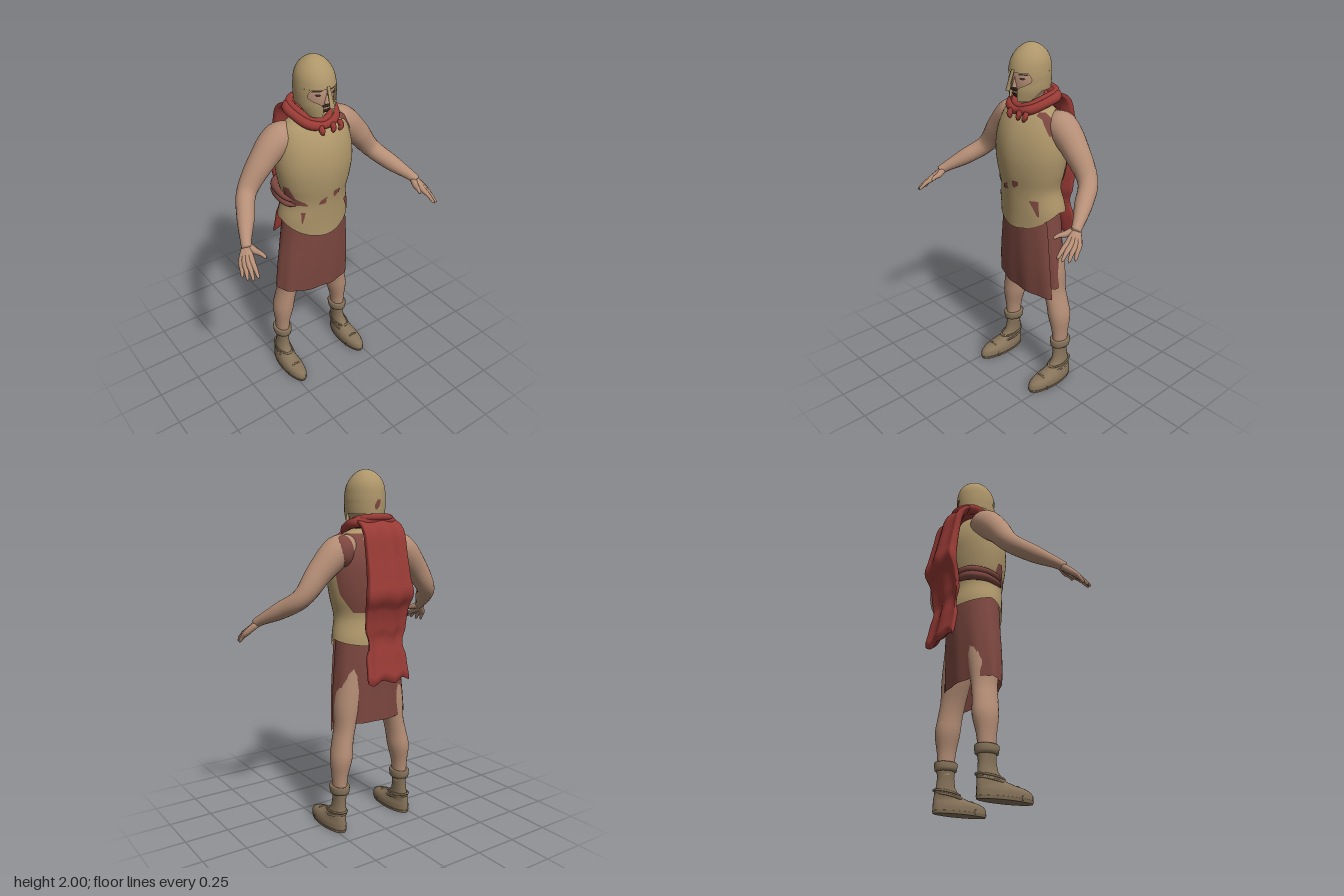
import * as THREE from 'three';

const V = (x, y, z) => new THREE.Vector3(x, y, z);
const mat = (name, color) => Object.assign(new THREE.MeshStandardMaterial({ color, side: THREE.DoubleSide }), { name });
const lerp = THREE.MathUtils.lerp;
const TAU = Math.PI * 2;

// Smooth surface from fn(u, v), u around and v along, both 0..1
function grid(fn, nu, nv, closed = false) {
  const pos = [], idx = [], w = closed ? nu : nu + 1;
  for (let j = 0; j <= nv; j++)
    for (let i = 0; i < w; i++) pos.push(...fn(i / nu, j / nv).toArray());
  for (let j = 0; j < nv; j++)
    for (let i = 0; i < nu; i++) {
      const a = j * w + i, b = j * w + (i + 1) % w;
      idx.push(a, b, b + w, a, b + w, a + w);
    }
  const g = new THREE.BufferGeometry();
  g.setAttribute('position', new THREE.Float32BufferAttribute(pos, 3));
  g.setIndex(idx);
  g.computeVertexNormals();
  return g;
}

// Body surface from rows [y, half width, front z, back z, centre x]; angle 0 faces +z, then turns to +x
function profile(rows) {
  const interp = new THREE.CubicInterpolant(rows.map(r => r[0]), rows.flatMap(r => [r[1], r[2], r[3], r[4] || 0]), 4, new Float32Array(4));
  return (a, y, off = 0) => {
    const [rx, zf, zb, cx] = interp.evaluate(y);
    return V(cx + (Math.max(rx, 0) + off) * Math.sin(a), y, (zf + zb) / 2 + (Math.max((zf - zb) / 2, 0) + off) * Math.cos(a));
  };
}
const column = (p, y0, y1, nv = 20, nu = 32) => grid((u, v) => p(u * TAU, lerp(y0, y1, v)), nu, nv, true);

// Stack of ellipses, used row by row
const stack = (rows, n = 28) => grid((u, v) => {
  const [y, rx, zf, zb, cx = 0] = rows[Math.round(v * (rows.length - 1))];
  return V(cx + rx * Math.sin(u * TAU), y, (zf + zb) / 2 + (zf - zb) / 2 * Math.cos(u * TAU));
}, n, rows.length - 1, true);

// Thin patch lying on a body surface, rows [y, first angle, last angle]
const patch = (p, rows, off = 0.005) => grid((u, v) => {
  const f = v * (rows.length - 1), i = Math.min(Math.floor(f), rows.length - 2), t = f - i;
  const [y, a, b] = rows[i].map((q, k) => lerp(q, rows[i + 1][k], t));
  return p(lerp(a, b, u), y, off);
}, 10, (rows.length - 1) * 4);

// Round limb through points with a radius at each
function limb(pts, radii, { nu = 16, nv = 24, closed = false } = {}) {
  const curve = new THREE.CatmullRomCurve3(pts.map(p => V(...p)), closed);
  const rad = new THREE.CatmullRomCurve3(radii.map(r => V(r, 0, 0)), closed);
  return grid((u, v) => {
    const T = curve.getTangent(v), N = V(0, 1, 0).cross(T).normalize(), B = T.clone().cross(N);
    const r = !closed && (v === 0 || v === 1) ? 0 : rad.getPoint(v).x;
    return curve.getPoint(v).addScaledVector(N, r * Math.cos(u * TAU)).addScaledVector(B, r * Math.sin(u * TAU));
  }, nu, nv, true);
}

export function createModel() {
  const root = new THREE.Group();
  root.name = 'armouredWarrior';
  const skin = mat('skin', 0xb58e76), bronze = mat('bronze', 0xae966a), cloth = mat('tunicRed', 0x7d4840);
  const red = mat('capeRed', 0x983a35), leather = mat('leather', 0x86735a), dark = mat('beardBrown', 0x3b2d25);
  const add = (name, geo, m, parent = root) => {
    const mesh = new THREE.Mesh(geo, m);
    mesh.name = name;
    parent.add(mesh);
    return mesh;
  };

  // Cuirass with a pointed lower edge
  const torso = profile([[0.98, 0.215, 0.085, -0.215], [1.1, 0.215, 0.09, -0.212], [1.22, 0.192, 0.1, -0.19], [1.32, 0.214, 0.116, -0.205],
    [1.42, 0.228, 0.122, -0.212], [1.52, 0.222, 0.108, -0.21], [1.6, 0.2, 0.075, -0.185], [1.655, 0.165, 0.035, -0.15], [1.69, 0.085, 0, -0.13]]);
  const hem = a => 1.1 - 0.105 * Math.pow(Math.max(0, Math.cos(a)), 1.3) - 0.03 * Math.max(0, -Math.cos(a));
  add('cuirass', grid((u, v) => {
    const a = u * TAU;
    return torso(a, lerp(hem(a), 1.69, v), 0.006 * Math.pow(Math.max(0, Math.cos(a)), 24));
  }, 48, 30, true), bronze);

  // Cloth showing on the cuirass
  const patches = {
    backPatch: [[1.25, 2.3, 2.75], [1.35, 1.95, 2.75], [1.5, 1.8, 2.7], [1.6, 1.75, 2.7], [1.665, 1.7, 2.6]],
    lowerBackPatch: [[1.23, -2.8, -2], [1.27, -2.8, -1.9], [1.31, -2.7, -2.3]],
    shoulderPatch: [[1.55, 1.15, 1.25], [1.63, 0.9, 1.3], [1.645, 0.7, 1.2], [1.66, 0.8, 1.1]],
    waistPatch: [[1.215, -1.5, -0.65], [1.235, -1.5, -0.75], [1.26, -1.5, -1.05], [1.33, -1.4, -1.2]],
    bellyPatch: [[1.215, -0.35, -0.15], [1.24, -0.3, 0.15], [1.26, -0.1, 0.3], [1.285, 0.15, 0.32]],
    rightHipPatch: [[1.1, -0.75, -0.72], [1.15, -0.8, -0.7], [1.17, -0.85, -0.7]],
    leftHipPatch: [[1.09, 0.78, 0.84], [1.13, 0.7, 0.85], [1.18, 0.6, 0.9]]
  };
  for (const [name, rows] of Object.entries(patches)) add(name, patch(torso, rows), cloth);
  add('sleevePatch', new THREE.SphereGeometry(1, 20, 14).scale(0.06, 0.085, 0.068), cloth).position.set(0.195, 1.575, -0.112);

  // Twisted sash around the waist
  for (const d of [0, 0.035])
    add('sash', limb([[-0.1, 1.27 - d, -0.215], [-0.175, 1.265 - d, -0.17], [-0.203, 1.262 - d, -0.09], [-0.195, 1.25 - d, -0.01], [-0.15, 1.235 - d / 2, 0.04]],
      [0.02, 0.026, 0.022, 0.016, 0.004], { nu: 10 }), cloth);

  // Wrapped skirt with a stepped overlap
  const skirt = profile([[0.54, 0.243, 0.04, -0.175, -0.014], [0.75, 0.23, 0.062, -0.182, -0.01], [0.95, 0.207, 0.073, -0.19, -0.004], [1.16, 0.18, 0.08, -0.185]]);
  add('skirt', grid((u, v) => {
    const a = 1.15 - u * TAU;
    const low = u < 0.45 ? lerp(0.563, 0.625, u / 0.45) : 0.63;
    const fold = 0.004 * (1 - v) * Math.sin(u * 60) + 0.01 * Math.max(0, 1 - u * 4);
    return skirt(a, lerp(low, 1.15, v), fold);
  }, 72, 16), cloth);

  // Neck and head
  const head = profile([[1.6, 0.08, 0.01, -0.14], [1.69, 0.062, 0, -0.115], [1.715, 0.06, 0.03, -0.115], [1.73, 0.066, 0.055, -0.12],
    [1.77, 0.088, 0.068, -0.135], [1.83, 0.097, 0.07, -0.142], [1.9, 0.088, 0.055, -0.135]]);
  add('head', column(head, 1.6, 1.9, 30), skin);
  add('beard', patch(head, [[1.718, -0.4, 0.4], [1.735, -0.6, 0.6], [1.752, -0.6, 0.6]], 0.006), dark);
  add('moustache', patch(head, [[1.762, -0.6, 0.6], [1.774, -0.35, 0.35], [1.782, -0.15, 0.15]], 0.007), dark);
  add('nose', new THREE.ConeGeometry(0.016, 0.055, 10), skin).position.set(0, 1.81, 0.07);
  for (const s of [-1, 1]) {
    add('eye', patch(head, [[1.824, s * 0.4, s * 0.55], [1.83, s * 0.33, s * 0.65], [1.836, s * 0.4, s * 0.6]]), dark);
    add('eyebrow', patch(head, [[1.847, s * 0.25, s * 0.8], [1.854, s * 0.3, s * 0.75]]), dark);
  }

  // Helmet: dome, cheek and neck guard, nose guard
  const helmet = profile([[1.7, 0.082, 0.08, -0.14], [1.76, 0.103, 0.085, -0.152], [1.8, 0.107, 0.086, -0.156], [1.86, 0.107, 0.084, -0.157], [1.92, 0.097, 0.066, -0.148],
    [1.96, 0.073, 0.036, -0.124], [1.985, 0.044, 0.004, -0.091], [1.996, 0.02, -0.022, -0.064], [2, 0, -0.043, -0.043]]);
  add('helmetDome', grid((u, v) => helmet(u * TAU, 1.86 + 0.14 * Math.sin(v * Math.PI / 2)), 32, 16, true), bronze);
  const gaps = [0.3, 0.3, 0.28, 0.28, 0.28, 0.4, 0.7, 0.95, 0.98, 0.9, 0.8];
  add('helmetCheeks', grid((u, v) => {
    const gap = gaps[Math.round(v * 10)], a = lerp(gap, TAU - gap, u), f = Math.abs(Math.PI - a);
    const low = lerp(1.765, 1.71, THREE.MathUtils.smoothstep(f, 1.6, 2.2));
    return helmet(a, lerp(low, 1.86, v));
  }, 48, 10), bronze);
  const guard = add('noseGuard', new THREE.CylinderGeometry(0.011, 0.016, 0.11, 4, 1).rotateY(Math.PI / 4).scale(1, 1, 0.6), bronze);
  guard.position.set(0, 1.822, 0.1);
  guard.rotation.x = -0.34;
  add('helmetStain', patch(helmet, [[1.79, 3, 3.1], [1.81, 2.95, 3.25], [1.84, 3.1, 3.3]], 0.003), cloth);

  // Rolled collar of the cape with two small knots
  const loop = d => [[0, 1.655, 0.052], [0.075, 1.668, 0.035], [0.118, 1.7, -0.04], [0.115, 1.722, -0.12], [0, 1.73, -0.16],
    [-0.115, 1.722, -0.12], [-0.118, 1.7, -0.04], [-0.075, 1.668, 0.035]].map(([x, y, z]) => [x * (1 - d), y + d * 0.1, z - d * 0.08]);
  add('collarRoll', limb(loop(0), [0.022, 0.026, 0.024, 0.028, 0.03, 0.028, 0.024, 0.026], { nv: 64, nu: 12, closed: true }), red);
  add('collarInnerRoll', limb(loop(0.2), Array(8).fill(0.02), { nv: 64, nu: 10, closed: true }), red);
  for (const x of [-0.03, 0.035, 0.08])
    add('collarKnot', limb([[x, 1.665, 0.06], [x * 1.1, 1.64, 0.078], [x * 0.9, 1.612, 0.08]], [0.014, 0.016, 0.006], { nu: 8, nv: 8 }), red);

  // Cape: folded slab along a hanging path, rows [y, z, half width, half thickness]
  const rows = [[1.705, -0.08, 0.11, 0.015], [1.722, -0.15, 0.125, 0.02], [1.68, -0.205, 0.13, 0.026], [1.55, -0.238, 0.132, 0.028], [1.43, -0.26, 0.138, 0.034],
    [1.35, -0.272, 0.15, 0.036], [1.27, -0.246, 0.14, 0.024], [1.15, -0.232, 0.134, 0.019], [1.02, -0.24, 0.134, 0.019], [0.875, -0.268, 0.142, 0.02]];
  const path = new THREE.CatmullRomCurve3(rows.map(r => V(0, r[0], r[1])));
  const size = new THREE.CatmullRomCurve3(rows.map(r => V(r[2], r[3], 0)));
  add('cape', grid((u, v) => {
    const a = u * TAU, c = Math.cos(a), s = Math.sin(a), p = path.getPoint(v), q = size.getPoint(v), T = path.getTangent(v);
    const end = v === 0 || v === 1 ? 0 : 1;
    const x = Math.sign(c) * Math.pow(Math.abs(c), 0.7);
    const t = end * q.y * Math.sign(s) * Math.pow(Math.abs(s), 0.5) + 0.009 * Math.cos(x * 5.2 + v);
    return V(x * q.x, p.y - T.z * t * 0.8 + v * v * 0.012 * Math.sin(x * 7), p.z + T.y * t);
  }, 64, 60, true), red);

  for (const s of [-1, 1]) {
    const side = s > 0 ? 'left' : 'right';
    const mx = pts => pts.map(([x, y, z]) => [s * x, y, z]);

    // Arm and hand
    const arm = new THREE.Group();
    arm.name = side + 'Arm';
    root.add(arm);
    add('arm', limb(mx([[0.11, 1.6, -0.085], [0.2, 1.575, -0.086], [0.31, 1.475, -0.08], [0.415, 1.342, -0.062], [0.485, 1.27, 0.04], [0.552, 1.207, 0.15], [0.565, 1.188, 0.18]]),
      [0.06, 0.085, 0.071, 0.053, 0.047, 0.028, 0.026], { nu: 20, nv: 40 }), skin, arm);
    const fingers = {
      thumb: [[0.532, 1.178, 0.21], [0.51, 1.165, 0.275]], indexFinger: [[0.57, 1.152, 0.228], [0.585, 1.097, 0.32]],
      middleFinger: [[0.587, 1.148, 0.224], [0.61, 1.089, 0.312]], ringFinger: [[0.601, 1.143, 0.213], [0.627, 1.08, 0.282]], littleFinger: [[0.611, 1.139, 0.198], [0.637, 1.08, 0.245]]
    };
    for (const [name, [k, tip]] of Object.entries(fingers)) {
      const mid = k.map((q, i) => (q + tip[i]) / 2 + (i === 1 ? 0.006 : 0));
      add(name, limb(mx([[0.555, 1.2, 0.155], k, mid, tip]), [0.02, 0.017, 0.012, 0.007], { nu: 10, nv: 14 }), skin, arm);
    }

    // Leg
    const leg = new THREE.Group();
    leg.name = side + 'Leg';
    root.add(leg);
    const calf = profile([[0.2, 0.035, -0.05, -0.14, s * 0.212], [0.32, 0.043, -0.04, -0.148, s * 0.21], [0.43, 0.06, -0.022, -0.167, s * 0.2], [0.51, 0.056, -0.016, -0.16, s * 0.188],
      [0.59, 0.056, -0.008, -0.155, s * 0.17], [0.72, 0.078, 0.01, -0.16, s * 0.145], [0.95, 0.09, 0.03, -0.16, s * 0.1]]);
    add('leg', column(calf, 0.2, 0.95, 30, 24), skin, leg);

    // Boot with sole, cuff and straps
    const at = list => list.map(r => [r[0], r[1], r[2], r[3], s * (r[4] || 0.224)]);
    add('sole', stack(at([[0, 0, 0, 0], [0, 0.056, 0.16, -0.157], [0, 0.056, 0.16, -0.157], [0.016, 0.06, 0.167, -0.161], [0.016, 0.06, 0.167, -0.161], [0.02, 0.05, 0.15, -0.15]])), leather, leg);
    add('boot', stack(at([[0.016, 0.058, 0.163, -0.158], [0.04, 0.06, 0.163, -0.159], [0.056, 0.056, 0.15, -0.158], [0.068, 0.051, 0.122, -0.157], [0.077, 0.047, 0.07, -0.156], [0.09, 0.044, 0.02, -0.154, 0.222],
      [0.11, 0.041, -0.015, -0.151, 0.219], [0.14, 0.036, -0.036, -0.146, 0.216], [0.19, 0.034, -0.044, -0.142, 0.213], [0.25, 0.042, -0.04, -0.15, 0.212]])), leather, leg);
    add('bootCuff', stack(at([[0.222, 0.036, -0.04, -0.145, 0.212], [0.224, 0.05, -0.033, -0.156, 0.212], [0.24, 0.053, -0.03, -0.159, 0.212], [0.264, 0.055, -0.028, -0.161, 0.212],
      [0.271, 0.05, -0.033, -0.156, 0.212], [0.268, 0.036, -0.045, -0.145, 0.212]])), leather, leg);
    add('toeStrap', new THREE.TorusGeometry(1, 0.09, 8, 24, Math.PI).scale(0.054, 0.072, 0.06), leather, leg).position.set(s * 0.224, 0.006, 0.07);
    for (const [y, z, r, tilt] of [[0.112, -0.08, 0.044, 0.25], [0.09, -0.065, 0.047, 0.35]]) {
      const strap = add('ankleStrap', new THREE.TorusGeometry(1, 0.1, 8, 28).rotateX(Math.PI / 2).scale(r, 0.06, r * 1.75), leather, leg);
      strap.position.set(s * 0.22, y, z);
      strap.rotation.x = tilt * 0.5;
    }
  }
  return root;
}
